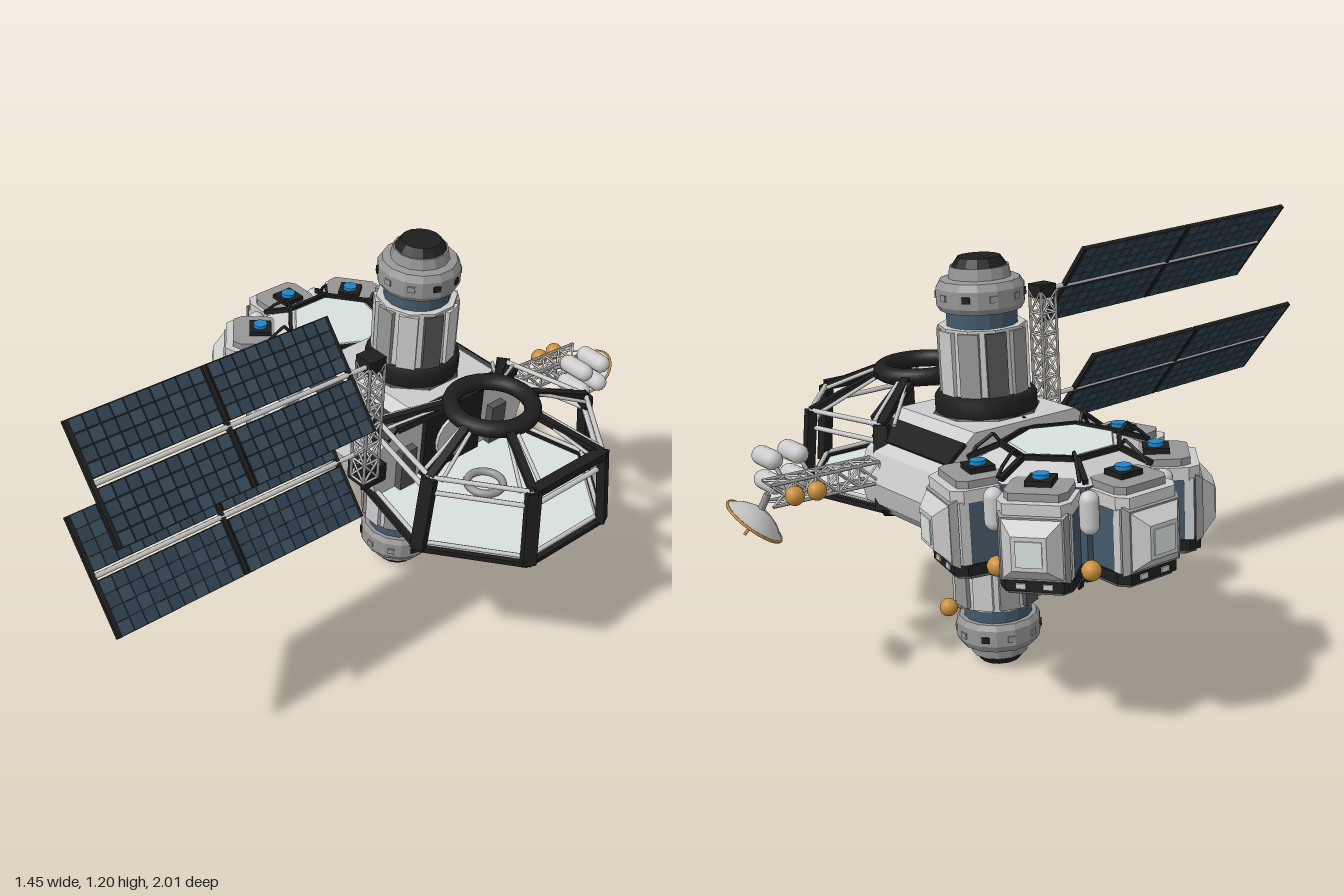
import * as THREE from 'three';

const GREY = 0xcccccc, MID = 0x969696, DARK = 0x555555, BLACK = 0x1e1e1e, BLUE = 0x44586a,
  PALE = 0xd8e2e0, GOLD = 0xc88f3c, CELL = 0x2f4250, CELL2 = 0x364a59, LAMP = 0x1f86c8;
const mats = {};
function mat(color, smooth) {
  const key = color + (smooth ? 's' : 'f');
  return mats[key] ??= new THREE.MeshStandardMaterial({ color, flatShading: !smooth, side: THREE.DoubleSide });
}
function add(parent, name, geo, color, x = 0, y = 0, z = 0, smooth = false) {
  const m = new THREE.Mesh(geo, mat(color, smooth));
  m.name = name;
  m.position.set(x, y, z);
  parent.add(m);
  return m;
}
function group(parent, name, x = 0, y = 0, z = 0) {
  const g = new THREE.Group();
  g.name = name;
  g.position.set(x, y, z);
  parent.add(g);
  return g;
}
const V = (x, y, z) => new THREE.Vector3(x, y, z);
const polar = (r, a, y) => V(r * Math.cos(a), y, r * Math.sin(a));
const box = (x, y, z) => new THREE.BoxGeometry(x, y, z);
const cyl = (rt, rb, h, n) => new THREE.CylinderGeometry(rt, rb, h, n);
const hept = (rt, rb, h, flip = 1) => cyl(rt, rb, h, 7).rotateY(flip * Math.PI / 2);
const ball = (p, name, r, x, y, z) => add(p, name, new THREE.SphereGeometry(r, 14, 10), GOLD, x, y, z, true);

// Square beam or round rod between two points
function link(parent, name, a, b, geo, color, smooth) {
  const m = new THREE.Mesh(geo, mat(color, smooth));
  m.name = name;
  m.position.copy(a).lerp(b, 0.5);
  m.lookAt(b);
  parent.add(m);
}
const beam = (p, name, a, b, w, h, color) => link(p, name, a, b, box(w, h, a.distanceTo(b)), color, false);
const rod = (p, name, a, b, r, color) =>
  link(p, name, a, b, cyl(r, r, a.distanceTo(b), 6).rotateX(Math.PI / 2), color, true);

// Bent rail standing off a sloping surface
function handrail(parent, a, r0, y0, r1, y1, lift) {
  const p = [polar(r0, a, y0), polar(r0 + 0.02, a, y0 + lift), polar(r1 - 0.02, a, y1 + lift), polar(r1, a, y1)];
  for (let i = 0; i < 3; i++) rod(parent, 'handrail', p[i], p[i + 1], 0.005, BLACK);
}

// Lattice girder with four chords and zigzag bracing
function truss(parent, name, a, b, w, bays) {
  const g = new THREE.Group(), len = a.distanceTo(b), s = w / 2, step = len / bays;
  g.name = name;
  g.position.copy(a);
  g.lookAt(b);
  parent.add(g);
  const c = [[-s, -s], [s, -s], [s, s], [-s, s]];
  c.forEach(([x, y], i) => {
    const [x2, y2] = c[(i + 1) % 4];
    rod(g, 'chord', V(x, y, 0), V(x, y, len), 0.005, MID);
    for (let k = 0; k < bays; k++) {
      rod(g, 'brace', V(x, y, k * step), V(x2, y2, (k + 1) * step), 0.0035, GREY);
      rod(g, 'brace', V(x2, y2, k * step), V(x, y, (k + 1) * step), 0.0035, GREY);
      rod(g, 'batten', V(x, y, k * step), V(x2, y2, k * step), 0.0035, GREY);
    }
  });
}

// One half of the tower; the lower half is the same part turned over
function halfTower(parent, name) {
  const g = group(parent, name);
  add(g, 'baseCollar', cyl(0.15, 0.165, 0.02, 8).rotateY(Math.PI / 8), DARK, 0, 0.16, 0);
  const ring = [[0.1, 0.155], [0.133, 0.157], [0.144, 0.17], [0.144, 0.21], [0.133, 0.224], [0.1, 0.226]];
  add(g, 'dockingRing', new THREE.LatheGeometry(ring.map(p => new THREE.Vector2(...p)), 24), BLACK, 0, 0, 0, true);
  add(g, 'towerBody', cyl(0.122, 0.126, 0.2, 10), GREY, 0, 0.31, 0);
  for (let i = 0; i < 10; i++) {
    const a = i * Math.PI / 5 + Math.PI / 10, panel = group(g, 'sidePanel');
    panel.rotation.y = -a;
    add(panel, 'plate', box(0.014, 0.185, 0.058), i % 5 === 0 ? DARK : i % 2 ? GREY : MID, 0.119, 0.31, 0);
    add(panel, 'marking', box(0.006, 0.018, 0.022), i % 3 ? MID : BLACK, 0.123, 0.495, 0);
  }
  add(g, 'neck', cyl(0.1, 0.1, 0.06, 16), BLUE, 0, 0.43, 0);
  const head = [[0.09, 0.452], [0.114, 0.452], [0.124, 0.468], [0.124, 0.516], [0.112, 0.536], [0.088, 0.54], [0.082, 0.572], [0, 0.572]];
  add(g, 'headCollar', new THREE.LatheGeometry(head.map(p => new THREE.Vector2(...p)), 14), MID);
  add(g, 'endCap', cyl(0.06, 0.08, 0.028, 14), BLACK, 0, 0.582, 0);
  return g;
}

// Outward-facing cabin with tapered nose window and roof lamp
function pod(hub, angle) {
  const g = group(hub, 'pod');
  g.rotation.y = -angle;
  const slab = (name, y0, y1, k, color) => {
    const pts = [[0.19, -0.08], [0.23, -0.096], [0.325, -0.096], [0.355, -0.075], [0.355, 0.075], [0.325, 0.096], [0.23, 0.096], [0.19, 0.08]];
    const s = new THREE.Shape(pts.map(([x, z]) => new THREE.Vector2(0.19 + (x - 0.19) * k, z * k)));
    const geo = new THREE.ExtrudeGeometry(s, { depth: y1 - y0, bevelEnabled: false }).rotateX(-Math.PI / 2);
    add(g, name, geo, color, 0, y0, 0);
  };
  slab('podFoot', -0.155, -0.145, 0.93, DARK);
  slab('podSkirt', -0.145, -0.115, 1, BLACK);
  slab('podWall', -0.115, 0.05, 0.96, BLUE);
  slab('podRoof', 0.05, 0.085, 1, GREY);
  slab('roofStep', 0.085, 0.105, 0.86, MID);
  for (const s of [-1, 1]) {
    add(g, 'cornerPost', box(0.025, 0.17, 0.02), GREY, 0.325, -0.03, s * 0.084);
    add(g, 'footLight', box(0.008, 0.014, 0.025), GREY, 0.355, -0.13, s * 0.035);
  }
  const nose = (name, r0, r1, h, x, color) =>
    add(g, name, cyl(r1 * Math.SQRT2, r0 * Math.SQRT2, h, 4).rotateY(Math.PI / 4).rotateZ(-Math.PI / 2), color, x, -0.03, 0);
  nose('noseBase', 0.092, 0.082, 0.02, 0.352, MID);
  nose('noseTaper', 0.078, 0.045, 0.035, 0.379, GREY);
  nose('noseGlass', 0.034, 0.034, 0.004, 0.398, PALE);
  add(g, 'lampBase', box(0.07, 0.03, 0.07), BLACK, 0.245, 0.105, 0);
  add(g, 'lamp', cyl(0.022, 0.022, 0.012, 16), LAMP, 0.245, 0.125, 0);
}

// Two-bay solar wing with two tilted strips on a central spar
function solarWing(parent, x, y) {
  const g = group(parent, 'solarWing', x, y, 0.455);
  g.rotation.set(-0.03, 0, -0.84);
  rod(g, 'spar', V(0, 0, -0.1), V(0, 0, 0.82), 0.008, GREY);
  for (const s of [-1, 1]) for (const z of [0.2, 0.62]) {
    const p = group(g, 'solarPanel', s * 0.091, 0, z);
    add(p, 'panelFrame', box(0.158, 0.01, 0.4), BLACK);
    for (let i = 0; i < 4; i++) for (let j = 0; j < 10; j++)
      add(p, 'solarCell', box(0.036, 0.016, 0.037), (i + j) % 3 ? CELL : CELL2, (i - 1.5) * 0.039, 0, (j - 4.5) * 0.04);
  }
  for (const z of [-0.005, 0.41, 0.825]) add(g, 'crossBar', box(0.34, 0.014, 0.012), BLACK, 0, 0, z);
}

export function createModel() {
  const model = new THREE.Group();
  model.name = 'spaceStation';
  const st = group(model, 'station', 0.015, 0.6, -0.32);
  st.rotation.order = 'ZYX';
  st.rotation.set(0, -Math.PI / 15, -0.05);
  const seg = Math.PI * 2 / 7;

  // Central body
  const half = [[0.17, 0.165], [0.29, 0.07], [0.32, -0.01], [0.3, -0.08], [0.24, -0.135]];
  const prof = [...half, ...half.map(([x, y]) => [-x, y]).reverse()].map(p => new THREE.Vector2(...p));
  const hull = new THREE.ExtrudeGeometry(new THREE.Shape(prof), { depth: 0.37, bevelEnabled: false });
  add(st, 'centralBody', hull.translate(0, 0, -0.185).rotateY(Math.PI / 2), GREY);
  for (const s of [-1, 1]) {
    const strip = add(st, 'slopeStrip', box(0.38, 0.012, 0.075), BLACK, 0, 0.118, s * 0.235);
    strip.rotation.x = s * 0.67;
    add(st, 'lowerStrip', box(0.37, 0.01, 0.1), DARK, 0, -0.136, s * 0.18);
  }
  halfTower(st, 'upperTower');
  halfTower(st, 'lowerTower').rotation.x = Math.PI;
  for (const [x, z] of [[0.098, -0.055], [0.085, -0.115]]) ball(st, 'goldTank', 0.027, x, -0.435, z);

  // Seven-sided hub with five pods
  const hub = group(st, 'podHub', -0.345, 0, 0);
  add(hub, 'hubWall', hept(0.25, 0.25, 0.24), BLUE, 0, -0.03, 0);
  add(hub, 'hubRoof', hept(0.165, 0.25, 0.045), GREY, 0, 0.1125, 0);
  add(hub, 'roofWindow', hept(0.145, 0.15, 0.012), PALE, 0, 0.138, 0);
  add(hub, 'hubFloor', hept(0.25, 0.16, 0.03), MID, 0, -0.165, 0);
  for (let k = 0; k < 7; k++) {
    const a = k * seg, b = a + seg;
    for (const [y, y2, t] of [[0.14, 0.105, 0.165], [-0.18, -0.155, 0.165]]) {
      beam(hub, 'ringBeam', polar(t, a, y), polar(t, b, y), 0.012, 0.014, BLACK);
      beam(hub, 'spokeBeam', polar(t, a, y), polar(0.255, a, y2), 0.014, 0.014, BLACK);
      handrail(hub, a + 0.06, t, y, 0.25, y2, Math.sign(y) * 0.025);
    }
  }
  for (let k = -2; k <= 2; k++) pod(hub, Math.PI + k * seg);
  for (const k of [-1.5, -0.5, 0.5, 1.5]) {
    const p = polar(0.285, Math.PI + k * seg, 0);
    add(hub, 'whiteTank', new THREE.CapsuleGeometry(0.026, 0.065, 5, 12), GREY, p.x, 0.035, p.z, true);
    ball(hub, 'goldTank', 0.027, p.x, -0.12, p.z);
  }

  // Open seven-sided observation frame
  const cup = group(st, 'observationFrame', 0.35, 0, 0);
  add(cup, 'deck', hept(0.345, 0.345, 0.012, -1), PALE, 0, -0.1, 0);
  add(cup, 'underside', hept(0.345, 0.2, 0.035, -1), MID, 0, -0.125, 0);
  for (let k = 0; k < 7; k++) {
    const a = Math.PI + k * seg, b = a + seg, outer = Math.cos(a) > -0.7;
    const lo = polar(0.365, a, -0.1), hi = polar(0.335, a, 0.14), top = polar(0.14, a, 0.215).add(V(0.005, 0, 0.015));
    beam(cup, 'sill', lo, polar(0.365, b, -0.1), 0.016, 0.016, BLACK);
    beam(cup, 'underRing', polar(0.19, a, -0.145), polar(0.19, b, -0.145), 0.014, 0.014, BLACK);
    beam(cup, 'underSpoke', polar(0.19, a, -0.145), lo, 0.014, 0.014, BLACK);
    handrail(cup, a + 0.06, 0.2, -0.142, 0.33, -0.11, -0.025);
    if (!outer) continue;
    beam(cup, 'post', lo, hi, 0.042, 0.026, BLACK);
    beam(cup, 'roofStrut', hi, top, 0.024, 0.016, BLACK);
    for (const d of [-0.1, 0.1]) rod(cup, 'roofRod', polar(0.325, a + d, 0.135), polar(0.14, a + d, 0.21), 0.006, GREY);
    if (Math.cos(b) > -0.7) {
      rod(cup, 'upperRail', hi, polar(0.335, b, 0.14), 0.008, GREY);
      rod(cup, 'middleRail', polar(0.338, a, 0.09), polar(0.338, b, 0.09), 0.008, GREY);
      rod(cup, 'lowerRail', polar(0.355, a, -0.08), polar(0.355, b, -0.08), 0.007, GREY);
    }
  }
  beam(cup, 'endLintel', polar(0.335, -seg / 2, 0.14), polar(0.335, seg / 2, 0.14), 0.035, 0.026, BLACK);
  add(cup, 'topRing', new THREE.TorusGeometry(0.12, 0.026, 10, 28).rotateX(Math.PI / 2), BLACK, 0.007, 0.215, 0.02, true);
  add(cup, 'deckHatch', new THREE.TorusGeometry(0.055, 0.012, 8, 24).rotateX(Math.PI / 2), MID, 0, -0.085, 0, true);
  for (const s of [-1, 1])
    beam(cup, 'roofBrace', V(-0.16, 0.14, s * 0.24), V(-0.09, 0.205, s * 0.1), 0.05, 0.02, BLACK);
  add(st, 'airlockFrame', box(0.02, 0.23, 0.24), BLACK, 0.19, 0.01, 0);
  add(st, 'airlockDoor', cyl(0.075, 0.075, 0.02, 16).rotateZ(Math.PI / 2), GREY, 0.2, 0.01, 0);
  for (const s of [-1, 1]) add(st, 'console', box(0.03, 0.14, 0.06), DARK, 0.195, -0.03, s * 0.19);

  // Solar mast and wings
  truss(st, 'solarMast', V(0.195, 0.02, 0.36), V(0.195, 0.42, 0.36), 0.055, 6);
  add(st, 'mastFoot', box(0.08, 0.06, 0.08), BLACK, 0.18, 0.02, 0.335);
  add(st, 'mastHead', box(0.06, 0.04, 0.06), BLACK, 0.195, 0.42, 0.36);
  solarWing(st, 0.205, 0.42);
  solarWing(st, 0.175, 0.1);

  // Antenna boom with tanks
  truss(st, 'antennaBoom', V(0.13, 0.02, -0.3), V(0.155, 0.02, -0.62), 0.06, 5);
  for (const z of [-0.56, -0.48]) for (const y of [0.085, 0.015]) {
    add(st, 'whiteTank', new THREE.CapsuleGeometry(0.028, 0.065, 5, 12).rotateZ(Math.PI / 2), GREY, 0.26, y, z, true);
    rod(st, 'tankStrut', V(0.15, 0.02, z), V(0.235, y, z), 0.006, MID);
  }
  ball(st, 'goldTank', 0.027, 0.088, 0.02, -0.575);
  ball(st, 'goldTank', 0.027, 0.083, 0.02, -0.51);
  const dish = group(st, 'antennaDish', 0.172, -0.05, -0.655);
  dish.rotation.set(0.66, 0, 0.3);
  const bowl = k => new THREE.LatheGeometry([0, 0.03, 0.06, 0.088].map(r => new THREE.Vector2(r, 0.035 - k - r * r * 5)), 24);
  add(dish, 'dishBack', bowl(0), GREY, 0, 0, 0, true);
  add(dish, 'dishFace', bowl(0.004), GOLD, 0, 0, 0, true);
  add(dish, 'dishRim', new THREE.TorusGeometry(0.088, 0.004, 6, 24).rotateX(Math.PI / 2), GOLD, 0, -0.005, 0, true);
  rod(dish, 'dishFeed', V(0, 0.03, 0), V(0, -0.05, 0), 0.005, GOLD);
  rod(st, 'dishArm', V(0.155, 0.02, -0.62), V(0.17, -0.03, -0.64), 0.01, MID);
  return model;
}
